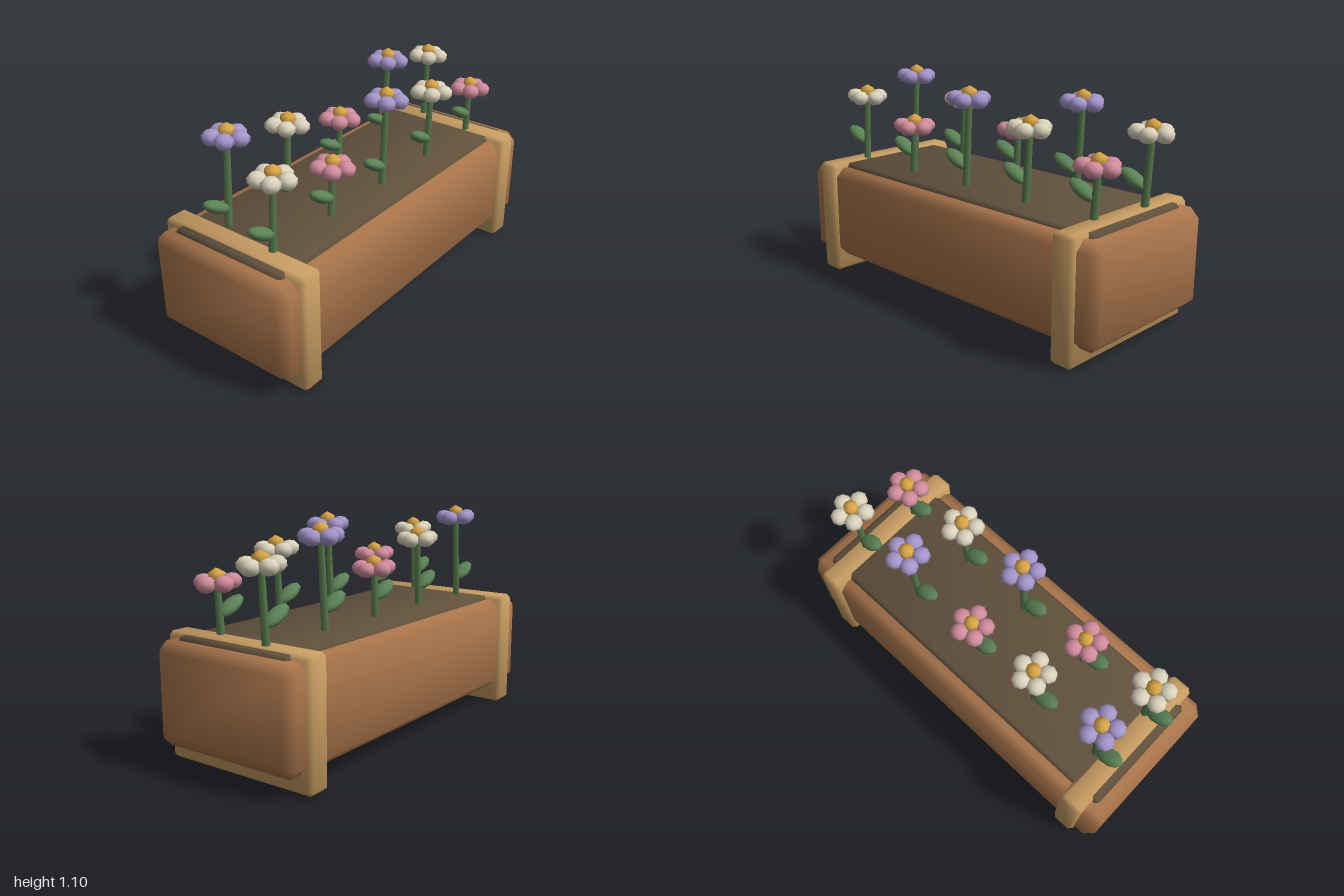
import * as THREE from 'three';
import { ConvexGeometry } from 'three/addons/geometries/ConvexGeometry.js';

const mat = (name, color) => {
  const m = new THREE.MeshStandardMaterial({ color });
  m.name = name;
  return m;
};

// Box with one 45 degree chamfer on every edge and softened normals
function chamferBox(w, h, d, c) {
  const half = [w / 2, h / 2, d / 2];
  const points = [];
  for (const sx of [-1, 1]) for (const sy of [-1, 1]) for (const sz of [-1, 1]) {
    for (let full = 0; full < 3; full++) {
      const p = [sx, sy, sz].map((s, i) => s * (half[i] - (i === full ? 0 : c)));
      points.push(new THREE.Vector3(...p));
    }
  }
  const geo = new ConvexGeometry(points);
  const pos = geo.attributes.position;
  const n = new THREE.Vector3();
  for (let i = 0; i < pos.count; i++) {
    const v = [pos.getX(i), pos.getY(i), pos.getZ(i)];
    n.set(...v.map((a, k) => Math.sign(a) * (Math.abs(Math.abs(a) - half[k]) < 1e-4 ? 1 : 0.35)));
    n.normalize();
    geo.attributes.normal.setXYZ(i, n.x, n.y, n.z);
  }
  return geo;
}

export function createModel() {
  const model = new THREE.Group();
  model.name = 'flowerPlanter';

  const wood = mat('brown wood', 0xab764c);
  const trim = mat('light wood', 0xc99e63);
  const earth = mat('soil', 0x62523d);
  const stemGreen = mat('stem green', 0x567a4c);
  const leafGreen = mat('leaf green', 0x5c8356);
  const yolk = mat('golden centre', 0xdea947);
  const petalMats = {
    purple: mat('purple petals', 0xa596cc),
    cream: mat('cream petals', 0xdcd4bd),
    pink: mat('pink petals', 0xd38d9f),
  };

  const add = (parent, name, geo, material, x = 0, y = 0, z = 0) => {
    const mesh = new THREE.Mesh(geo, material);
    mesh.name = name;
    mesh.position.set(x, y, z);
    parent.add(mesh);
    return mesh;
  };

  // Trough, soil and the two supporting bands
  add(model, 'trough', chamferBox(2, 0.49, 0.8, 0.045), wood, 0, 0.335, 0);
  add(model, 'soil', chamferBox(1.85, 0.08, 0.65, 0.018), earth, 0, 0.558, 0);
  const bandGeo = chamferBox(0.126, 0.605, 0.84, 0.02);
  for (const side of [-1, 1]) {
    add(model, side > 0 ? 'leftBand' : 'rightBand', bandGeo, trim, side * 0.833, 0.3025, 0);
  }

  // Shared flower shapes
  const petalGeo = new THREE.SphereGeometry(1, 8, 5).scale(0.046, 0.038, 0.046);
  const centreGeo = new THREE.SphereGeometry(0.041, 8, 3);
  const leafGeo = new THREE.SphereGeometry(1, 10, 8).scale(0.08, 0.03, 0.043);
  const heights = { purple: 0.455, cream: 0.37, pink: 0.262 };
  const baseY = 0.58;

  function flower(kind, x, z) {
    const g = new THREE.Group();
    g.name = kind + 'Flower';
    g.position.set(x, baseY, z);
    g.rotation.z = -0.06;
    const h = heights[kind];
    add(g, 'stem', new THREE.CylinderGeometry(0.016, 0.02, h, 6), stemGreen, 0, h / 2, 0);
    const leaf = add(g, 'leaf', leafGeo, leafGreen, -0.074, 0.139, 0);
    leaf.rotation.z = -0.44;
    for (let i = 0; i < 5; i++) {
      const a = (i / 5) * Math.PI * 2;
      add(g, 'petal', petalGeo, petalMats[kind], Math.cos(a) * 0.066, h, Math.sin(a) * 0.066);
    }
    add(g, 'flowerCentre', centreGeo, yolk, 0, h + 0.025, 0);
    model.add(g);
  }

  // Two rows of five flowers
  const frontRow = ['cream', 'pink', 'purple', 'cream', 'pink'];
  const backRow = ['purple', 'cream', 'pink', 'purple', 'cream'];
  for (let i = 0; i < 5; i++) {
    flower(frontRow[i], -0.8 + i * 0.4, 0.168);
    flower(backRow[i], -0.755 + i * 0.4, -0.143);
  }
  return model;
}
